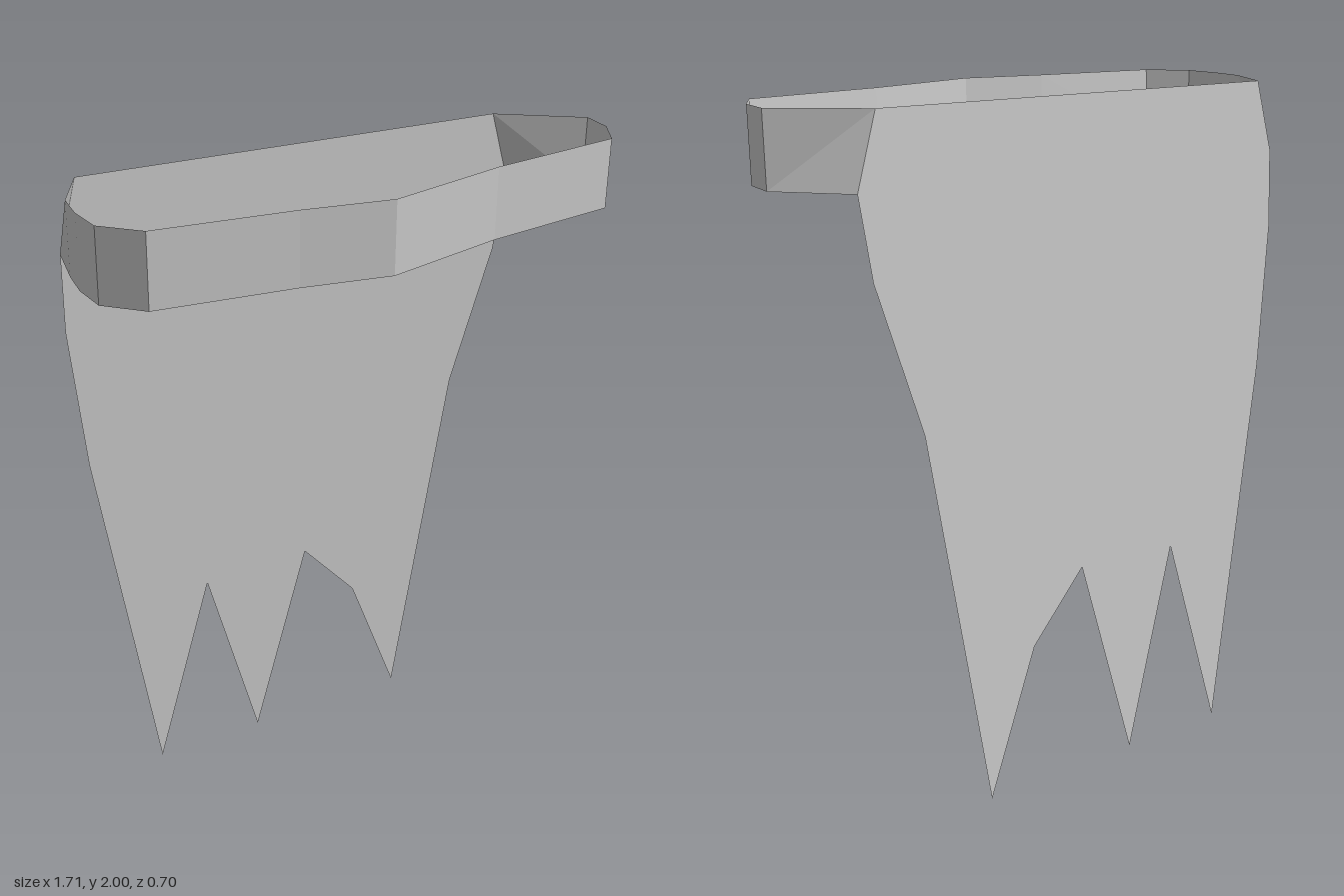
import * as THREE from 'three';

const TOP = 2, HEM = 1.79, SLOPE = 0.0425; // everything leans back slightly towards the floor

export function createModel() {
  const group = new THREE.Group();
  const material = new THREE.MeshStandardMaterial({
    color: 0xcccccc, flatShading: true, side: THREE.DoubleSide,
  });

  // Flat cape with a ragged lower edge, sheared along the lean
  const outline = [
    [-0.735, TOP], [-0.79, HEM], [-0.79, 1.56], [-0.745, 1.13],
    [-0.555, 0], [-0.375, 0.615], [-0.2, 0], [-0.02, 0.63], [0.165, 0.43], [0.335, 0],
    [0.52, 1.13], [0.66, 1.56], [0.695, HEM], [0.63, TOP],
  ];
  const shape = new THREE.Shape(outline.map(([x, y]) => new THREE.Vector2(x, y)));
  const capeGeometry = new THREE.ShapeGeometry(shape);
  const p = capeGeometry.attributes.position;
  for (let i = 0; i < p.count; i++) p.setZ(i, -0.27 - SLOPE * (TOP - p.getY(i)));
  capeGeometry.computeVertexNormals();
  const cape = new THREE.Mesh(capeGeometry, material);
  cape.name = 'cape';
  group.add(cape);

  // Collar band around the front: [x at top, z at top, x at bottom]
  const path = [
    [-0.735, -0.27, -0.79], [-0.835, -0.085], [-0.855, 0.03], [-0.855, 0.155],
    [-0.765, 0.26], [-0.36, 0.3], [-0.1, 0.345], [0.3, 0.23],
    [0.755, 0.15], [0.83, 0.03], [0.85, -0.085], [0.63, -0.27, 0.695],
  ];
  const positions = [], indices = [];
  path.forEach(([x, z, xBottom = x], i) => {
    positions.push(x, TOP, z, xBottom, HEM, z - SLOPE * (TOP - HEM));
    if (i > 0) {
      const a = 2 * (i - 1);
      indices.push(a, a + 1, a + 2, a + 2, a + 1, a + 3);
    }
  });
  const bandGeometry = new THREE.BufferGeometry();
  bandGeometry.setAttribute('position', new THREE.Float32BufferAttribute(positions, 3));
  bandGeometry.setIndex(indices);
  bandGeometry.computeVertexNormals();
  const band = new THREE.Mesh(bandGeometry, material);
  band.name = 'collarBand';
  group.add(band);

  return group;
}
